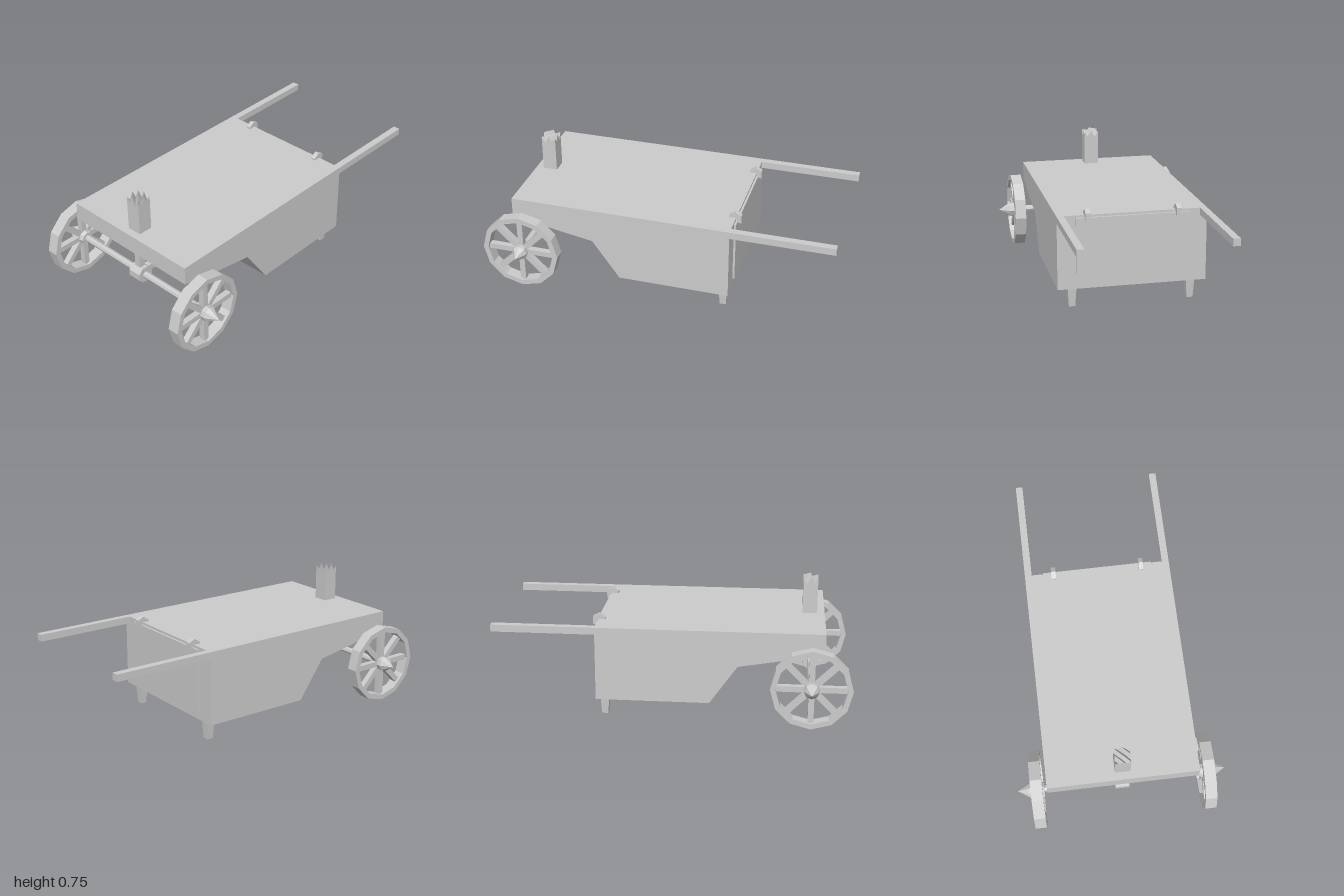
import * as THREE from 'three';

const material = new THREE.MeshStandardMaterial({ color: 0xcccccc, flatShading: true });
const WHEEL_X = -0.775, AXLE_Y = 0.24;

function part(parent, name, geometry, x = 0, y = 0, z = 0) {
  const mesh = new THREE.Mesh(geometry, material);
  mesh.name = name;
  mesh.position.set(x, y, z);
  parent.add(mesh);
  return mesh;
}

// Extrudes an xy outline along z, centred on z = 0
function slab(points, depth, hole) {
  const shape = new THREE.Shape(points);
  if (hole) shape.holes.push(new THREE.Path(hole));
  return new THREE.ExtrudeGeometry(shape, { depth, bevelEnabled: false }).translate(0, 0, -depth / 2);
}

const outline = (pairs) => pairs.map(([x, y]) => new THREE.Vector2(x, y));

function polygon(radius, sides) {
  return Array.from({ length: sides }, (_, i) => {
    const a = (i / sides) * Math.PI * 2;
    return new THREE.Vector2(Math.cos(a) * radius, Math.sin(a) * radius);
  });
}

// Square post with a jagged, splintered top
function brokenPost() {
  const geometry = new THREE.BoxGeometry(0.083, 0.2, 0.086, 4, 1, 4);
  const p = geometry.attributes.position;
  for (let i = 0; i < p.count; i++) {
    if (p.getY(i) < 0) continue;
    const col = Math.round((p.getX(i) / 0.083 + 0.5) * 4);
    const row = Math.round((p.getZ(i) / 0.086 + 0.5) * 4);
    const spike = (col + row) % 2 === 0;
    p.setY(i, spike ? 0.11 + ((col * 7 + row * 3) % 4) * 0.005 : 0.075 + ((col + row * 2) % 3) * 0.005);
  }
  geometry.computeVertexNormals();
  return geometry;
}

// Twelve-sided rim, eight spokes and a pointed hub facing +z
function makeWheel() {
  const wheel = new THREE.Group();
  wheel.name = 'wheel';
  part(wheel, 'rim', slab(polygon(0.225, 12), 0.065, polygon(0.195, 12)));
  for (let i = 0; i < 8; i++) {
    const spoke = part(wheel, 'spoke', new THREE.BoxGeometry(0.19, 0.032, 0.034).translate(0.1, 0, 0));
    spoke.rotation.z = (i * Math.PI) / 4;
  }
  const profile = outline([[0, -0.04], [0.035, -0.04], [0.043, -0.02], [0.043, 0.045], [0, 0.112]]);
  part(wheel, 'hub', new THREE.LatheGeometry(profile, 8).rotateX(Math.PI / 2));
  return wheel;
}

export function createModel() {
  const cart = new THREE.Group();
  cart.name = 'cart';

  // Body with the cut-away underside above the axle
  part(cart, 'body', slab(outline([
    [-0.845, 0.53], [-0.845, 0.425], [-0.6, 0.37], [-0.37, 0.33],
    [-0.215, 0.11], [0.42, 0.11], [0.42, 0.53],
  ]), 0.844));

  // Rear door panel
  part(cart, 'door', new THREE.BoxGeometry(0.022, 0.357, 0.634), 0.421, 0.338, 0);

  // Broken post on the deck
  part(cart, 'brokenPost', brokenPost(), -0.76, 0.625, 0);

  // Axle, its central collar, hanger and connecting beam
  part(cart, 'axle', new THREE.CylinderGeometry(0.02, 0.02, 0.94, 8).rotateX(Math.PI / 2), WHEEL_X, AXLE_Y, 0);
  part(cart, 'axleCollar', new THREE.CylinderGeometry(0.05, 0.05, 0.08, 8).rotateY(Math.PI / 8).rotateX(Math.PI / 2),
    WHEEL_X, AXLE_Y, 0);
  part(cart, 'axleHanger', new THREE.BoxGeometry(0.038, 0.21, 0.038), WHEEL_X, 0.335, 0);
  part(cart, 'beam', new THREE.BoxGeometry(0.5, 0.036, 0.036), -0.525, 0.244, 0);

  // Mirrored pairs
  for (const side of [1, -1]) {
    const wheel = makeWheel();
    wheel.position.set(WHEEL_X, AXLE_Y, side * 0.482);
    if (side < 0) wheel.rotation.y = Math.PI;
    cart.add(wheel);

    part(cart, 'handle', new THREE.BoxGeometry(0.59, 0.04, 0.04), 0.705, 0.51, side * 0.402);

    part(cart, 'hinge', slab(outline([
      [0.38, 0.525], [0.42, 0.525], [0.42, 0.5], [0.45, 0.5], [0.45, 0.545], [0.415, 0.563], [0.38, 0.54],
    ]), 0.026), 0, 0, side * 0.255);

    const leg = new THREE.CylinderGeometry(0.025 * Math.SQRT2, 0.018 * Math.SQRT2, 0.115, 4).rotateY(Math.PI / 4);
    part(cart, 'leg', leg, 0.378, 0.0575, side * 0.338);
  }

  return cart;
}
